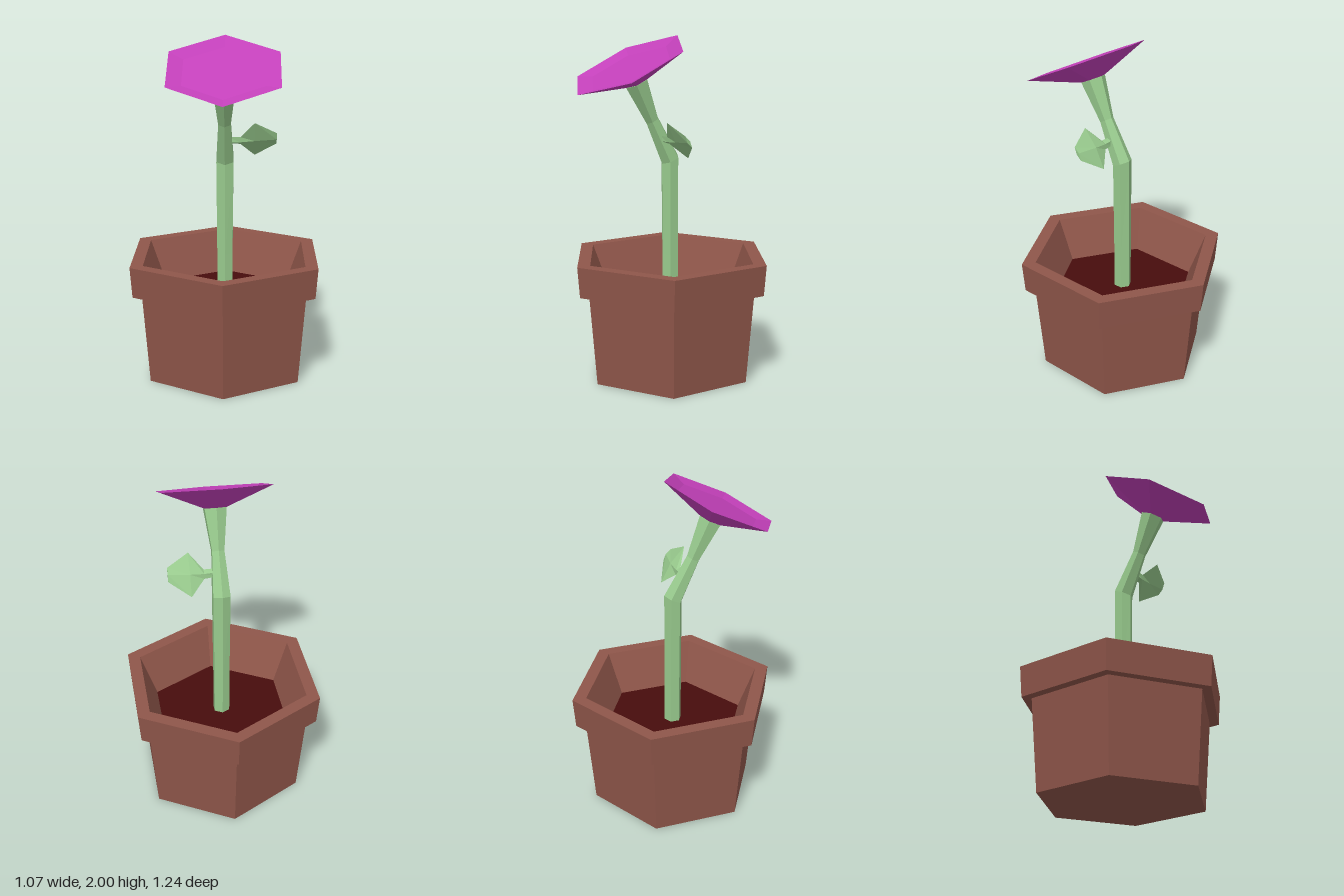
import * as THREE from 'three';

const mat = (name, color) => {
  const m = new THREE.MeshStandardMaterial({ color });
  m.name = name;
  return m;
};

// Hard-edged normals for faceted parts
function facet(geometry) {
  const g = geometry.index ? geometry.toNonIndexed() : geometry;
  g.computeVertexNormals();
  return g;
}

// Six-sided turned shape with a corner facing +z
function hexLathe(profile) {
  return facet(new THREE.LatheGeometry(profile.map(([r, y]) => new THREE.Vector2(r, y)), 6));
}

// Skin over a list of equal-length rings, with both ends capped
function loft(rings) {
  const pos = [];
  const tri = (a, b, c) => [a, b, c].forEach((p) => pos.push(p.x, p.y, p.z));
  const n = rings[0].length;
  for (let k = 0; k < rings.length - 1; k++) {
    const a = rings[k], b = rings[k + 1];
    for (let i = 0; i < n; i++) {
      const j = (i + 1) % n;
      tri(a[i], a[j], b[j]);
      tri(a[i], b[j], b[i]);
    }
  }
  const first = rings[0], last = rings[rings.length - 1];
  for (let i = 1; i < n - 1; i++) {
    tri(first[0], first[i + 1], first[i]);
    tri(last[0], last[i], last[i + 1]);
  }
  const g = new THREE.BufferGeometry();
  g.setAttribute('position', new THREE.Float32BufferAttribute(pos, 3));
  return facet(g);
}

// Tilted hexagonal ring of the stem
function stemRing([y, z, r, tilt]) {
  return Array.from({ length: 6 }, (_, i) => {
    const a = (i * Math.PI) / 3;
    return new THREE.Vector3(Math.sin(a) * r, 0, Math.cos(a) * r)
      .applyAxisAngle(new THREE.Vector3(1, 0, 0), tilt)
      .add(new THREE.Vector3(0, y, z));
  });
}

// Diamond section of the leaf, leaning with the stem
function leafRing([x, y, z, half, thick]) {
  const up = new THREE.Vector3(0, 0.83, 0.56);
  const out = new THREE.Vector3(0, -0.56, 0.83);
  const c = new THREE.Vector3(x, y, z);
  return [[up, half], [out, thick], [up, -half], [out, -thick]]
    .map(([d, s]) => c.clone().addScaledVector(d, s));
}

export function createModel() {
  const model = new THREE.Group();
  model.name = 'pottedFlower';
  const terracotta = mat('terracotta', 0x8f564a);
  const earth = mat('darkEarth', 0x470d0d);
  const green = mat('leafGreen', 0x98ca8d);
  const purple = mat('petalPurple', 0xc240b9);

  const add = (name, geometry, material) => {
    const mesh = new THREE.Mesh(geometry, material);
    mesh.name = name;
    model.add(mesh);
    return mesh;
  };

  // Pot: base, flared wall, overhanging rim and sloping inside
  add('pot', hexLathe([
    [0, 0], [0.5, 0], [0.546, 0.535], [0.605, 0.535],
    [0.62, 0.715], [0.537, 0.715], [0.43, 0.47],
  ]), terracotta);

  // Soil
  add('soil', hexLathe([[0.43, 0.47], [0, 0.47]]), earth);

  // Stem: centre y, centre z, radius, forward tilt
  add('stem', loft([
    [0.46, 0, 0.052, 0],
    [0.72, 0, 0.052, 0],
    [1.285, 0.002, 0.058, 0.42],
    [1.52, 0.122, 0.041, 0.5],
    [1.742, 0.226, 0.073, 0.451],
  ].map(stemRing)), green);

  // Leaf with its stalk: x, y, z, half width, half thickness
  add('leaf', loft([
    [0.02, 1.41, 0.068, 0.024, 0.018],
    [0.09, 1.408, 0.064, 0.027, 0.015],
    [0.172, 1.415, 0.058, 0.127, 0.016],
    [0.298, 1.422, 0.066, 0.041, 0.01],
  ].map(leafRing)), green);

  // Bloom: shallow cone with a dished face, tipped forward
  const bloom = add('bloom', hexLathe([
    [0, -0.11], [0.073, -0.11], [0.361, 0], [0.264, -0.022], [0, -0.022],
  ]), purple);
  bloom.position.set(0, 1.842, 0.275);
  bloom.rotation.x = 0.451;

  return model;
}
